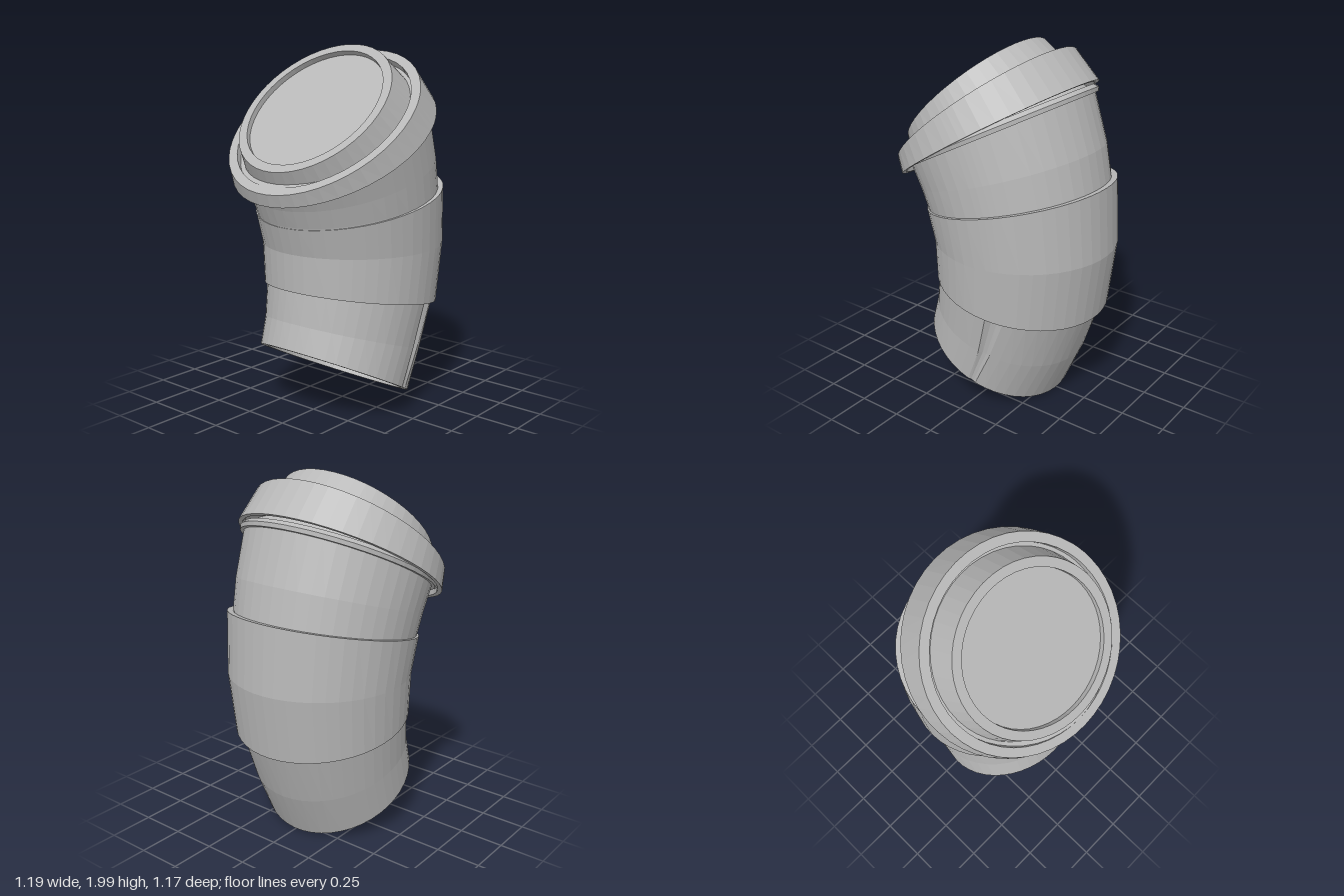
import * as THREE from 'three';

const grey = new THREE.MeshStandardMaterial({ color: 0xb8b8b8 });
grey.name = 'plainGrey';

const RAD = Math.PI / 180;
const SIDES = 48;

// A tilted plane the cross-sections lie on: centre x, centre y, tilt in degrees
const plane = (x, y, tilt) => ({ x, y, t: tilt * RAD });
// A round section on a plane: radius, shift along the axis, seam groove end angle and depth
const ring = (p, r, h = 0, seamEnd = 66, dent = 0) => ({ p, r, h, seamEnd, dent });

// Point j around a section; the last points cross the seam groove at the front
function pointOn({ p, r, h, seamEnd, dent }, j) {
  const start = 78.5;
  const last = SIDES - 3;
  let angle, radius = r;
  if (j <= last) {
    angle = start + (360 + seamEnd - start) * (j / last);
  } else {
    angle = 360 + seamEnd + (start - seamEnd) * ((j - last) / 3);
    if (j < SIDES) radius = r - dent;
  }
  const u = radius * Math.cos(angle * RAD);
  return [
    p.x + u * Math.cos(p.t) - h * Math.sin(p.t),
    p.y + u * Math.sin(p.t) + h * Math.cos(p.t),
    radius * Math.sin(angle * RAD),
  ];
}

// Faceted skin through a list of sections
function loft(name, rings) {
  const pos = [];
  for (let i = 0; i < rings.length - 1; i++) {
    for (let j = 0; j < SIDES; j++) {
      const a = pointOn(rings[i], j), b = pointOn(rings[i + 1], j);
      const c = pointOn(rings[i + 1], j + 1), d = pointOn(rings[i], j + 1);
      if (rings[i + 1].r > 0) pos.push(...a, ...b, ...c);
      if (rings[i].r > 0) pos.push(...a, ...c, ...d);
    }
  }
  const geo = new THREE.BufferGeometry();
  geo.setAttribute('position', new THREE.Float32BufferAttribute(pos, 3));
  geo.computeVertexNormals();
  const mesh = new THREE.Mesh(geo, grey);
  mesh.name = name;
  return mesh;
}

export function createModel() {
  const group = new THREE.Group();
  group.name = 'bentCup';

  // Planes along the bent axis
  const base = plane(-0.075, 0.205, -27.5);
  const brim = plane(-0.065, 1.495, 27.5);
  const lidLow = plane(-0.085, 1.5, 32.1);
  const lidMid = plane(-0.17, 1.6125, 39.7);
  const lidTop = plane(-0.2375, 1.6825, 44.5);

  // Cup: recessed bottom, bent wall with a seam groove
  group.add(loft('cupBody', [
    ring(base, 0, 0.03, 72.5),
    ring(base, 0.395, 0.03, 72.5),
    ring(base, 0.395, 0, 72.5),
    ring(base, 0.434, 0, 72.5, 0.006),
    ring(plane(0, 0.4, -18.4), 0.445, 0, 70, 0.014),
    ring(plane(0.06, 0.63, -9.75), 0.467, 0, 66, 0.018),
    ring(plane(0.08, 0.915, 0), 0.487),
    ring(plane(0.04, 1.177, 12.3), 0.506),
    ring(plane(0.003, 1.315, 17.5), 0.517),
    ring(brim, 0.53),
  ]));

  // Rolled lip, closed off inside the lid
  group.add(loft('cupLip', [
    ring(brim, 0.525),
    ring(brim, 0.549),
    ring(brim, 0.556, 0.022),
    ring(brim, 0.538, 0.045),
    ring(brim, 0.5, 0.045),
    ring(lidMid, 0.44, -0.05),
  ]));

  // Sleeve around the middle
  const sleeveLow = plane(0.07, 0.628, -9.75);
  const sleeveHigh = plane(0.058, 1.175, 12.6);
  group.add(loft('sleeve', [
    ring(sleeveLow, 0.455),
    ring(sleeveLow, 0.487),
    ring(plane(0.09, 0.915, 0), 0.505),
    ring(sleeveHigh, 0.525),
    ring(sleeveHigh, 0.485),
  ]));

  // Lid: wide rim, narrow gutter, raised crown with a sunken top
  group.add(loft('lid', [
    ring(lidLow, 0.49, 0.03),
    ring(lidLow, 0.555, 0.03),
    ring(lidLow, 0.56),
    ring(lidLow, 0.584),
    ring(lidMid, 0.559),
    ring(lidMid, 0.507),
    ring(lidMid, 0.507, -0.04),
    ring(lidMid, 0.487, -0.04),
    ring(lidTop, 0.4525),
    ring(lidTop, 0.402),
    ring(lidTop, 0.402, -0.03),
    ring(lidTop, 0, -0.03),
  ]));

  return group;
}
